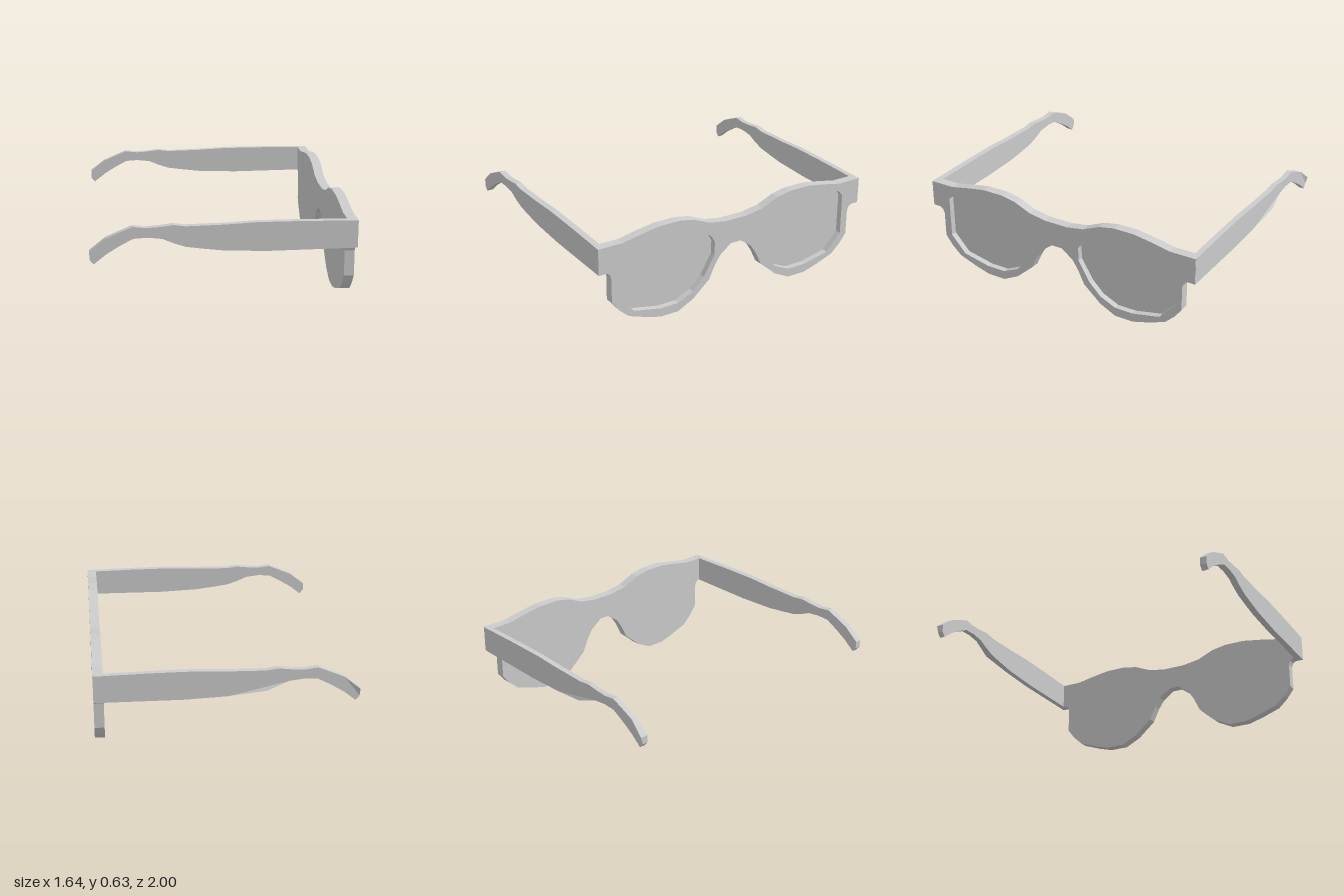
import * as THREE from 'three';

const BACK = 0.757, FRONT = 0.82, LENS_FRONT = 0.78, MID_Z = 0.0075;
const material = new THREE.MeshStandardMaterial({ color: 0xcccccc, flatShading: true });

// Half outline of the front frame as [z, y], from bridge top round to bridge bottom
const frameHalf = [
  [0.09, 0.54], [0.21, 0.56], [0.325, 0.61], [0.43, 0.63], [0.575, 0.63], [0.70, 0.61],
  [0.83, 0.585], [1.0, 0.585], [1.0, 0.41], [0.945, 0.41], [0.925, 0.395], [0.915, 0.365],
  [0.915, 0.20], [0.865, 0.135], [0.80, 0.075], [0.675, 0.03], [0.57, 0], [0.44, 0],
  [0.33, 0.055], [0.21, 0.16], [0.165, 0.255], [0.125, 0.315], [0.045, 0.375],
];

// Lens opening as [z, y]
const lensOutline = [
  [0.865, 0.49], [0.835, 0.525], [0.795, 0.545], [0.565, 0.575], [0.43, 0.575], [0.35, 0.56],
  [0.27, 0.525], [0.195, 0.46], [0.17, 0.415], [0.17, 0.325], [0.25, 0.19], [0.33, 0.11],
  [0.44, 0.06], [0.57, 0.06], [0.76, 0.10], [0.865, 0.215],
];

// Side profile of a temple arm as [x, y]
const templeProfile = [
  [-0.82, 0.43], [-0.72, 0.51], [-0.64, 0.545], [-0.555, 0.58], [-0.475, 0.57], [-0.395, 0.575],
  [-0.31, 0.585], [-0.235, 0.575], [0, 0.58], [0.2, 0.59], [0.47, 0.59], [0.815, 0.585],
  [0.815, 0.41], [0.27, 0.405], [0, 0.415], [-0.125, 0.43], [-0.235, 0.445], [-0.31, 0.47],
  [-0.38, 0.50], [-0.47, 0.51], [-0.555, 0.505], [-0.64, 0.46], [-0.72, 0.41], [-0.795, 0.35],
  [-0.82, 0.38],
];

const mirror = (pts) => pts.map(([z, y]) => [2 * MID_Z - z, y]).reverse();
const toVectors = (pts) => pts.map(([a, b]) => new THREE.Vector2(a, b));
// Shapes drawn in the z-y plane are turned to face +x, so z is negated
const facing = (pts) => toVectors(pts.map(([z, y]) => [-z, y]));

function extrude(shape, depth) {
  return new THREE.ExtrudeGeometry(shape, { depth, bevelEnabled: false });
}

function addMesh(group, name, geometry) {
  const mesh = new THREE.Mesh(geometry, material);
  mesh.name = name;
  group.add(mesh);
}

export function createModel() {
  const group = new THREE.Group();
  group.name = 'glasses';
  const lenses = { leftLens: lensOutline, rightLens: mirror(lensOutline) };

  // Front frame with two openings
  const frame = new THREE.Shape(facing([...frameHalf, ...mirror(frameHalf)]));
  for (const pts of Object.values(lenses)) frame.holes.push(new THREE.Path(facing(pts)));
  addMesh(group, 'frontFrame',
    extrude(frame, FRONT - BACK).rotateY(Math.PI / 2).translate(BACK, 0, 0));

  // Lenses, flush with the back of the frame and recessed at the front
  for (const [name, pts] of Object.entries(lenses)) {
    addMesh(group, name,
      extrude(new THREE.Shape(facing(pts)), LENS_FRONT - BACK)
        .rotateY(Math.PI / 2).translate(BACK, 0, 0));
  }

  // Temple arms
  const temple = new THREE.Shape(toVectors(templeProfile));
  addMesh(group, 'leftTemple', extrude(temple, 0.043).translate(0, 0, 0.957));

  // The other arm swells outward slightly at two spots on its lower edge
  const right = extrude(temple, 0.037).translate(0, 0, -0.987);
  const pos = right.attributes.position;
  for (let i = 0; i < pos.count; i++) {
    const x = pos.getX(i), y = pos.getY(i);
    const swells = (Math.abs(x + 0.235) < 0.01 && y < 0.5) || (x < -0.81 && y > 0.4);
    if (pos.getZ(i) < -0.97 && swells) pos.setZ(i, -1);
  }
  right.computeVertexNormals();
  addMesh(group, 'rightTemple', right);

  return group;
}
